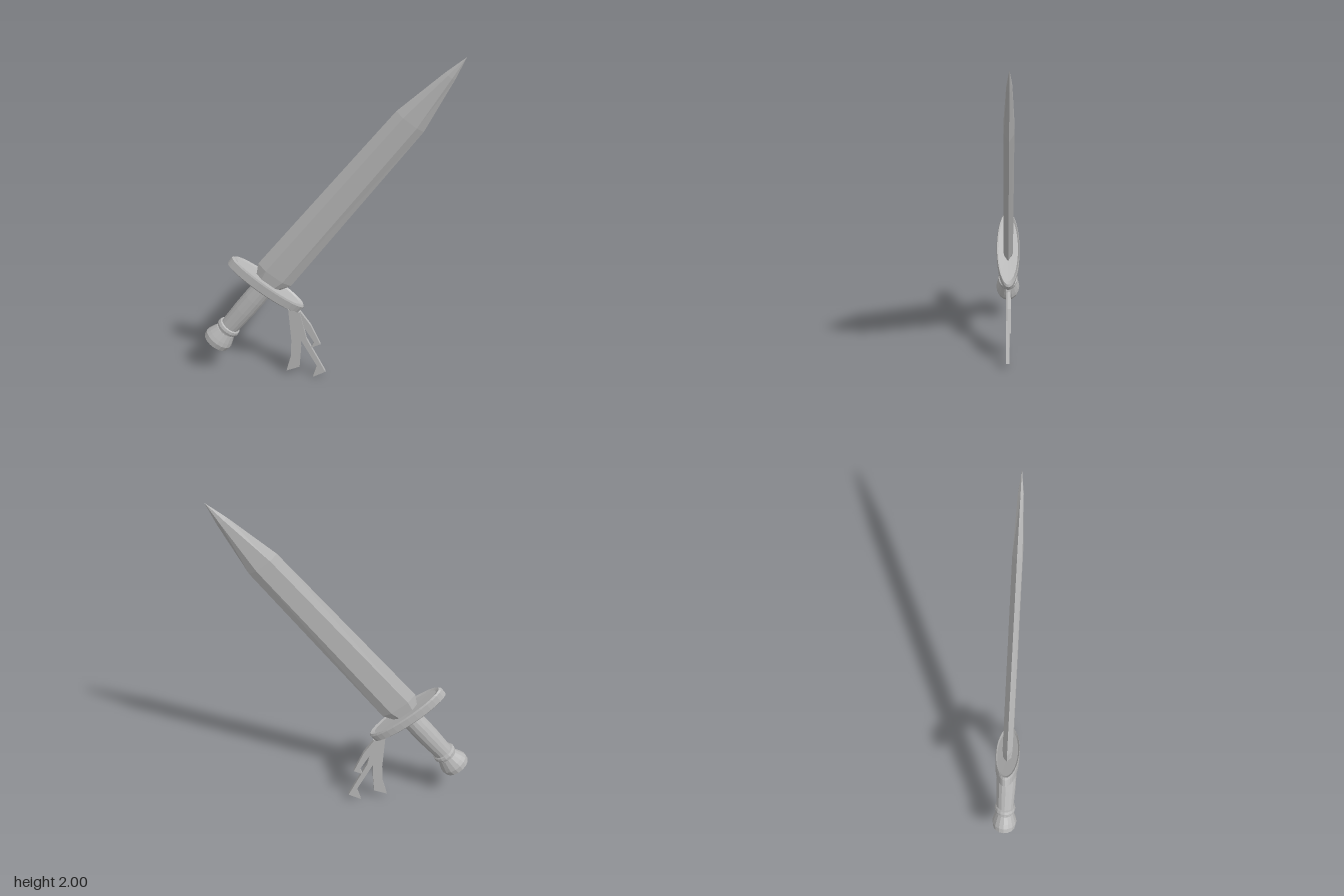
import * as THREE from 'three';

const steel = new THREE.MeshStandardMaterial({ color: 0xb6b6b6 });
steel.name = 'plain grey';
steel.flatShading = true;

function addMesh(parent, name, geometry) {
  const mesh = new THREE.Mesh(geometry, steel);
  mesh.name = name;
  parent.add(mesh);
  return mesh;
}

// Turned part from [radius, height] pairs, flattened in depth
function turned(parent, name, profile, sides, depth) {
  const points = profile.map(([r, y]) => new THREE.Vector2(r, y));
  const mesh = addMesh(parent, name, new THREE.LatheGeometry(points, sides));
  mesh.scale.z = depth;
  return mesh;
}

// Six-sided blade lofted through [height, half width, flat half width, half thickness]
function bladeGeometry(sections) {
  const rings = sections.map(([y, w, f, z]) => [
    [-w, y, 0], [-f, y, z], [f, y, z], [w, y, 0], [f, y, -z], [-f, y, -z],
  ]);
  const positions = [];
  for (let k = 0; k < rings.length - 1; k++) {
    for (let i = 0; i < 6; i++) {
      const j = (i + 1) % 6;
      const a = rings[k], b = rings[k + 1];
      positions.push(...a[i], ...a[j], ...b[j]);
      if (k < rings.length - 2) positions.push(...a[i], ...b[j], ...b[i]);
    }
  }
  const geometry = new THREE.BufferGeometry();
  geometry.setAttribute('position', new THREE.Float32BufferAttribute(positions, 3));
  geometry.computeVertexNormals();
  return geometry;
}

export function createModel() {
  const model = new THREE.Group();
  model.name = 'ribbonedSword';

  // Sword built along its own axis, with the point at the origin
  const sword = new THREE.Group();
  sword.name = 'sword';
  sword.position.set(0.705, 2, 0);
  sword.rotation.z = -0.6467;
  model.add(sword);

  addMesh(sword, 'blade', bladeGeometry([
    [-1.74, 0.068, 0.04, 0.02],
    [-1.65, 0.114, 0.058, 0.028],
    [-0.447, 0.091, 0.045, 0.026],
    [-0.13, 0.032, 0.013, 0.014],
    [0, 0, 0, 0],
  ]));

  // Oval guard with bevelled rims
  turned(sword, 'guard', [
    [0, -1.762], [0.225, -1.766], [0.25, -1.758], [0.252, -1.712],
    [0.24, -1.702], [0.215, -1.71], [0, -1.712],
  ], 32, 0.27);

  turned(sword, 'grip', [
    [0.055, -2.14], [0.056, -2.09], [0.062, -1.95], [0.063, -1.85], [0.06, -1.75],
  ], 16, 0.9);

  turned(sword, 'collar', [
    [0.05, -2.135], [0.066, -2.128], [0.07, -2.113], [0.066, -2.097], [0.05, -2.09],
  ], 16, 0.88);

  turned(sword, 'pommel', [
    [0, -2.262], [0.05, -2.26], [0.08, -2.244], [0.086, -2.21],
    [0.078, -2.185], [0.06, -2.14], [0, -2.13],
  ], 16, 0.84);

  // Three flat ribbons hanging from the low end of the guard
  const ribbons = [
    ['straightRibbon', 0, [
      [-0.215, 0.46], [-0.2, 0.25], [-0.205, 0.14], [-0.232, 0.035],
      [-0.155, 0.068], [-0.145, 0.2], [-0.145, 0.45]]],
    ['longRibbon', 0.004, [
      [-0.185, 0.45], [-0.145, 0.26], [-0.052, 0.085], [-0.076, 0.003],
      [-0.002, 0.045], [-0.112, 0.27], [-0.148, 0.45]]],
    ['shortRibbon', -0.004, [
      [-0.175, 0.46], [-0.13, 0.35], [-0.068, 0.245], [-0.085, 0.205],
      [-0.032, 0.232], [-0.088, 0.36], [-0.148, 0.45]]],
  ];
  for (const [name, z, outline] of ribbons) {
    const shape = new THREE.Shape(outline.map(([x, y]) => new THREE.Vector2(x, y)));
    const geometry = new THREE.ExtrudeGeometry(shape, { depth: 0.02, bevelEnabled: false });
    geometry.translate(0, 0, z - 0.01);
    addMesh(model, name, geometry);
  }

  return model;
}
